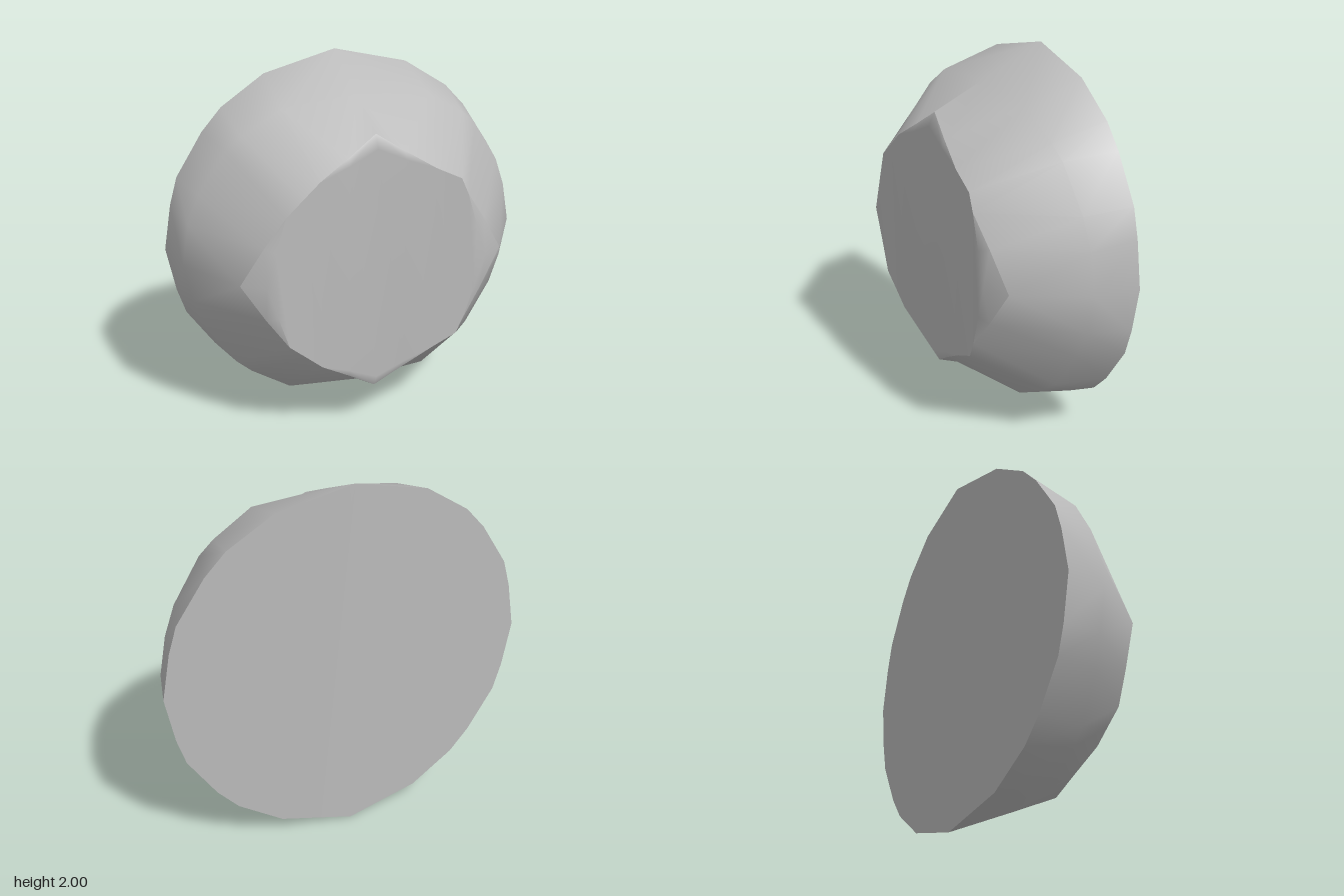
import * as THREE from 'three';

const N = 24;

// Quarter outlines from the top (x = 0) to the side (y = 0), as [x, y, z] about the centre.
const RIM = [[0, 1, -0.355], [0.4, 0.905, -0.333], [0.64, 0.75, -0.318], [0.75, 0.63, -0.311],
  [0.9, 0.4, -0.302], [0.945, 0.25, -0.299], [0.99, 0, -0.296]];
const MID = [[0, 0.845, 0], [0.4, 0.81, 0], [0.61, 0.68, -0.02], [0.69, 0.61, -0.03],
  [0.84, 0.38, -0.05], [0.9, 0.22, -0.06], [0.94, 0, -0.06]];
const EDGE = [[0, 0.72, 0.28], [0.15, 0.62, 0.307], [0.31, 0.52, 0.333], [0.45, 0.45, 0.341],
  [0.49, 0.36, 0.344], [0.6, 0.2, 0.315], [0.72, 0, 0.28]];
const INNER = [[0, 0.65, 0.315], [0.15, 0.58, 0.324], [0.31, 0.52, 0.333], [0.45, 0.45, 0.341],
  [0.49, 0.36, 0.344], [0.545, 0.18, 0.347], [0.6, 0, 0.352]];

// Mirror a quarter into a closed ring; leftCorner replaces the corner point on the -x side.
function ring(quarter, leftCorner) {
  const points = [];
  for (let i = 0; i < N; i++) {
    const left = i > 12;
    const lower = i > 6 && i < 18;
    const half = left ? N - i : i;
    const k = half > 6 ? 12 - half : half;
    const [x, y, z] = left && k === 3 && leftCorner ? leftCorner : quarter[k];
    points.push([left ? -x : x, (lower ? -y : y) + 1, z]);
  }
  return points;
}

// Band of quads between consecutive rings.
function loftIndex(count) {
  const index = [];
  for (let r = 0; r < count - 1; r++) {
    for (let i = 0; i < N; i++) {
      const a = r * N + i, b = r * N + (i + 1) % N;
      const c = b + N, d = a + N;
      if (i % 12 < 6) index.push(a, d, c, a, c, b);
      else index.push(a, d, b, d, c, b);
    }
  }
  return index;
}

// Fill a ring with upright strips so the surface folds along x = 0.
function fillIndex(start, backwards) {
  const index = [];
  for (let s = -6; s < 6; s++) {
    const at = (i) => start + (i + 2 * N) % N;
    const a = at(s), b = at(s + 1), c = at(11 - s), d = at(12 - s);
    const tris = [];
    if (s !== -6) tris.push([a, d, c]);
    if (s !== 5) tris.push([a, c, b]);
    else tris.splice(0, 1, [a, d, b]);
    if (s === -6) tris.splice(0, 1, [a, c, b]);
    for (const [p, q, r] of tris) index.push(...(backwards ? [p, r, q] : [p, q, r]));
  }
  return index;
}

function part(name, rings, index, material) {
  const geometry = new THREE.BufferGeometry();
  geometry.setAttribute('position', new THREE.Float32BufferAttribute(rings.flat(2), 3));
  geometry.setIndex(index);
  geometry.computeVertexNormals();
  const mesh = new THREE.Mesh(geometry, material);
  mesh.name = name;
  return mesh;
}

export function createModel() {
  const grey = new THREE.MeshStandardMaterial({ color: 0xbbbbbb });
  grey.name = 'plain grey';

  const corner = [0.4, 0.44, 0.338];
  const rim = ring(RIM), mid = ring(MID);
  const edge = ring(EDGE, corner), inner = ring(INNER, corner);

  const group = new THREE.Group();
  group.name = 'domedButton';
  group.add(
    // rounded wall from the wide back rim to the front
    part('sideWall', [rim, mid, edge], loftIndex(3), grey),
    // slightly dished front with bevelled tips
    part('frontFace', [edge, inner], [...loftIndex(2), ...fillIndex(N, false)], grey),
    // back, gently bowed about the upright axis
    part('backFace', [rim], fillIndex(0, true), grey),
  );
  return group;
}
